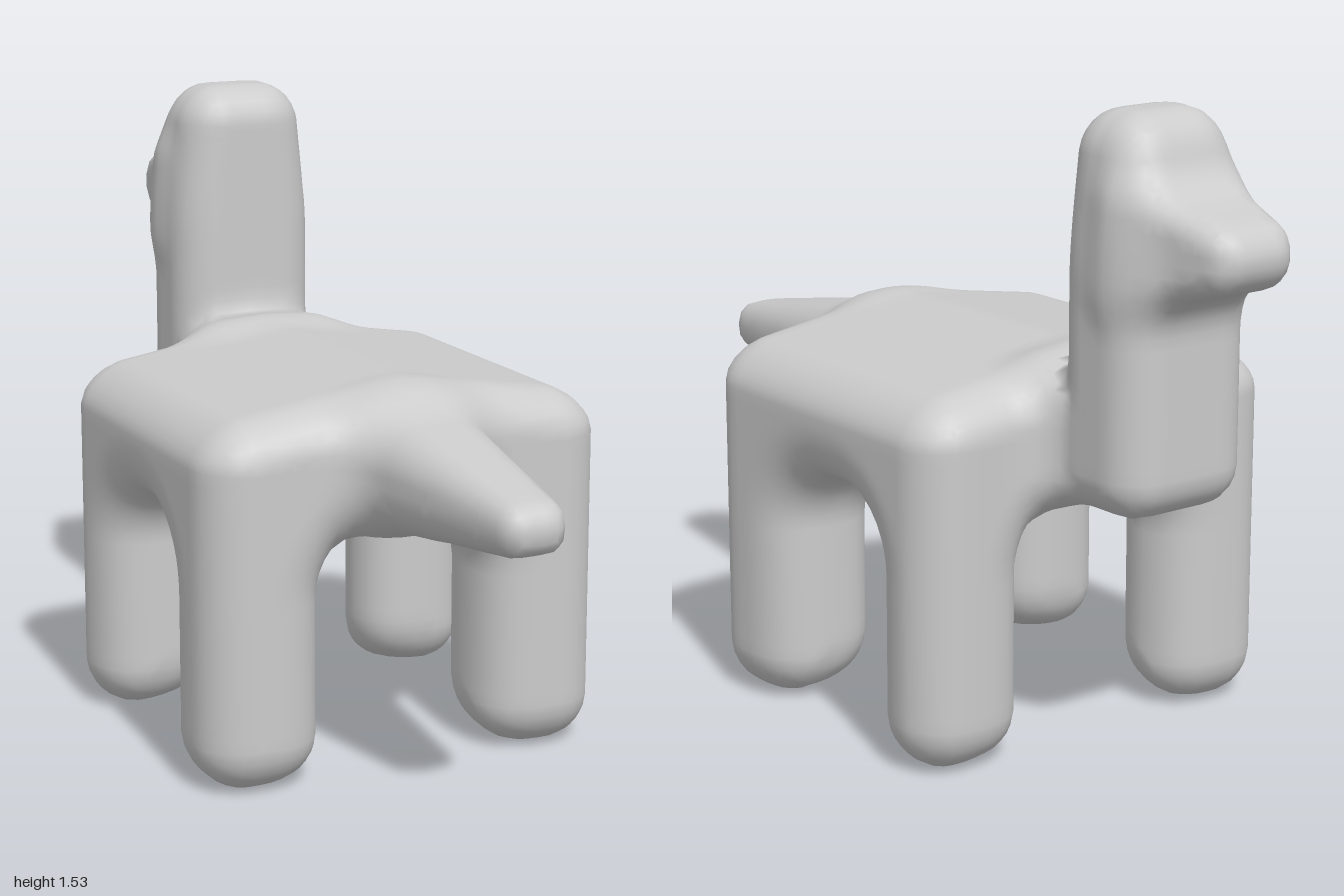
import * as THREE from 'three';

// Soft union and a rounded box, both as signed distances.
const blend = (a, b, k) => {
  const h = Math.max(k - Math.abs(a - b), 0) / k;
  return Math.min(a, b) - h * h * k / 4;
};
const roundBox = (x, y, z, hx, hy, hz, r) => {
  const a = Math.abs(x) - hx + r, b = Math.abs(y) - hy + r, c = Math.abs(z) - hz + r;
  return Math.hypot(Math.max(a, 0), Math.max(b, 0), Math.max(c, 0)) + Math.min(Math.max(a, b, c), 0) - r;
};
const clamp01 = (t) => THREE.MathUtils.clamp(t, 0, 1);
const smooth = THREE.MathUtils.smoothstep;

// Torso and legs: a ridged block with a cross-shaped arch cut from below.
function torsoAndLegs(x, y, z) {
  const roof = y + 0.16 * Math.hypot(x, 0.02) * smooth(y, 0.6, 0.88);
  const block = roundBox(x, roof - 0.475, z + 0.04, 0.517, 0.475, 0.46, 0.12);
  const r = 0.15;
  const side = blend(Math.abs(x) - 0.21, Math.abs(z + 0.065) - 0.175, 0.14) + r;
  const top = y - 0.6 + r;
  const arch = Math.hypot(Math.max(side, 0), Math.max(top, 0)) + Math.min(Math.max(side, top), 0) - r;
  return -blend(-block, arch, 0.16);
}

// Upright neck narrowing to the crown, with the chest that joins it to the torso.
function neckAndChest(x, y, z) {
  const s = smooth(y, 1.15, 1.55);
  const neck = roundBox(x, y - 1.073, z + 0.65 - 0.02 * s, 0.186 - 0.03 * s, 0.458, 0.14 - 0.02 * s, 0.1);
  const chest = roundBox(x, y - 0.775, z + 0.54, 0.18, 0.15, 0.16, 0.07);
  return Math.min(neck, chest);
}

function snout(x, y, z) {
  const u = clamp01((-0.7 - z) / 0.3);
  return roundBox(x, y - 1.24, z + 0.825, 0.165 - 0.06 * u, 0.15 - 0.09 * u, 0.175, 0.058);
}

function tail(x, y, z) {
  const u = clamp01((z - 0.4) / 0.6);
  const hx = 0.165 - 0.09 * u, hy = 0.15 - 0.095 * u;
  return roundBox(x, y - 0.755 + 0.015 * u, z - 0.65, hx, hy, 0.35, 0.85 * Math.min(hx, hy));
}

const skin = (x, y, z) => {
  const front = blend(neckAndChest(x, y, z), snout(x, y, z), 0.09);
  return blend(blend(torsoAndLegs(x, y, z), front, 0.12), tail(x, y, z), 0.12);
};

const gradient = (x, y, z, e = 0.004) => [
  (skin(x + e, y, z) - skin(x - e, y, z)) / (2 * e),
  (skin(x, y + e, z) - skin(x, y - e, z)) / (2 * e),
  (skin(x, y, z + e) - skin(x, y, z - e)) / (2 * e),
];

// Which part a point of the skin belongs to.
function partAt(x, y, z) {
  if (y < 0.5) return (z < -0.06 ? 'headEnd' : 'tailEnd') + (x > 0 ? 'LeftLeg' : 'RightLeg');
  if (z > 0.44) return 'tail';
  if (z < -0.8 && y > 1.05) return 'snout';
  if (z < -0.5 && y > 1.2) return 'head';
  if (z < -0.5 && Math.abs(x) < 0.22) return 'neck';
  return 'torso';
}

export function createModel() {
  const step = 0.03, size = [38, 56, 72], origin = [-0.57, -0.05, -1.08];
  const stride = [1, size[0] + 1, (size[0] + 1) * (size[1] + 1)];
  const at = (c) => c[0] + c[1] * stride[1] + c[2] * stride[2];
  const place = (c) => c.map((v, a) => origin[a] + v * step);

  // Sample the distance on a grid.
  const values = new Float64Array(stride[2] * (size[2] + 1));
  for (let k = 0; k <= size[2]; k++)
    for (let j = 0; j <= size[1]; j++)
      for (let i = 0; i <= size[0]; i++) values[at([i, j, k])] = skin(...place([i, j, k]));

  // One skin point per crossed cell: mean of its edge crossings, drawn onto the surface.
  const points = new Map();
  const pointIn = (cell) => {
    const id = at(cell);
    if (points.has(id)) return points.get(id);
    const sum = [0, 0, 0];
    let count = 0;
    for (let corner = 0; corner < 8; corner++) {
      for (let a = 0; a < 3; a++) {
        if (corner & (1 << a)) continue;
        const c = cell.map((v, n) => v + ((corner >> n) & 1));
        const v0 = values[at(c)], v1 = values[at(c) + stride[a]];
        if ((v0 < 0) === (v1 < 0)) continue;
        c[a] += v0 / (v0 - v1);
        place(c).forEach((v, n) => { sum[n] += v; });
        count++;
      }
    }
    const p = sum.map((v) => v / count);
    for (let pass = 0; pass < 3; pass++) {
      const g = gradient(...p), d = skin(...p) / (g[0] ** 2 + g[1] ** 2 + g[2] ** 2 + 1e-6);
      g.forEach((v, n) => { p[n] -= THREE.MathUtils.clamp(d * v, -step, step); });
    }
    const normal = new THREE.Vector3(...gradient(...p, 0.012)).normalize().toArray();
    const point = { id, p, normal };
    points.set(id, point);
    return point;
  };

  // Join the four cells round every crossed grid edge, sorted into parts.
  const parts = new Map();
  const addQuad = (quad) => {
    const centre = [0, 1, 2].map((n) => quad.reduce((t, q) => t + q.p[n], 0) / 4);
    const name = partAt(...centre);
    if (!parts.has(name)) parts.set(name, { position: [], normal: [], index: [], seen: new Map() });
    const part = parts.get(name);
    const [a, b, c, d] = quad.map((q) => {
      if (!part.seen.has(q.id)) {
        part.seen.set(q.id, part.seen.size);
        part.position.push(...q.p);
        part.normal.push(...q.normal);
      }
      return part.seen.get(q.id);
    });
    part.index.push(a, b, c, a, c, d);
  };
  for (let k = 1; k < size[2]; k++)
    for (let j = 1; j < size[1]; j++)
      for (let i = 1; i < size[0]; i++)
        for (let a = 0; a < 3; a++) {
          const c = [i, j, k], inside = values[at(c)] < 0;
          if (inside === values[at(c) + stride[a]] < 0) continue;
          const b = (a + 1) % 3, d = (a + 2) % 3;
          const quad = [[0, 0], [1, 0], [1, 1], [0, 1]].map(([m, n]) => {
            const cell = [...c];
            cell[b] -= m;
            cell[d] -= n;
            return pointIn(cell);
          });
          addQuad(inside ? quad : quad.reverse());
        }

  const group = new THREE.Group();
  group.name = 'animal';
  const material = new THREE.MeshStandardMaterial({ color: 0xcccccc });
  for (const [name, part] of parts) {
    const geometry = new THREE.BufferGeometry();
    geometry.setAttribute('position', new THREE.Float32BufferAttribute(part.position, 3));
    geometry.setAttribute('normal', new THREE.Float32BufferAttribute(part.normal, 3));
    geometry.setIndex(part.index);
    const mesh = new THREE.Mesh(geometry, material);
    mesh.name = name;
    group.add(mesh);
  }
  return group;
}
